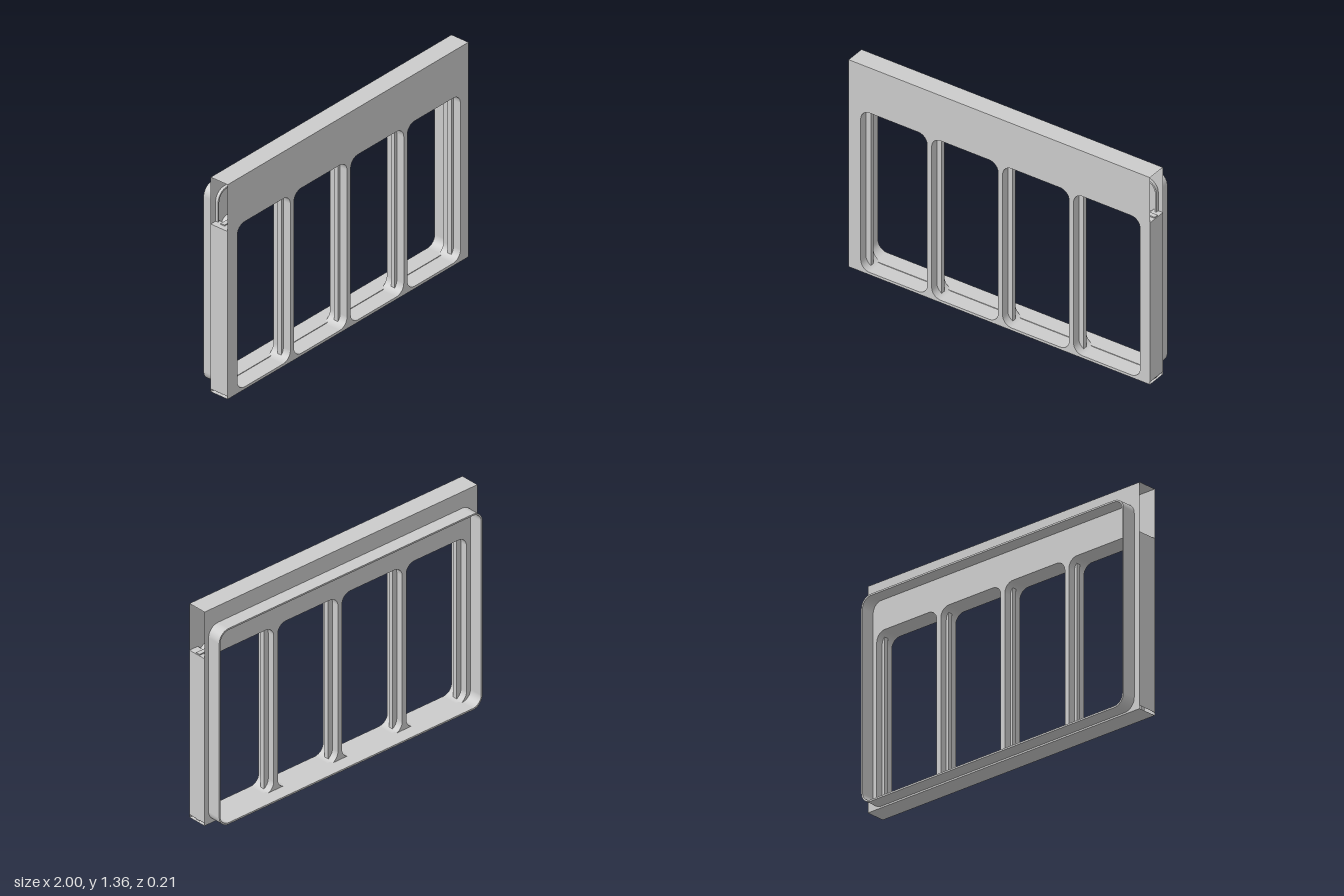
import * as THREE from 'three';

const mat = new THREE.MeshStandardMaterial({ color: 0xcccccc, side: THREE.DoubleSide });
const FRONT = 0.104, BACK = -0.018, TOP = 1.36;

// Counter-clockwise outline of a rounded rectangle
function roundedRect(x0, x1, y0, y1, r, n = 10) {
  const corners = [[x1 - r, y0 + r, -0.5], [x1 - r, y1 - r, 0], [x0 + r, y1 - r, 0.5], [x0 + r, y0 + r, 1]];
  const pts = [];
  for (const [cx, cy, start] of corners) {
    for (let i = 0; i <= n; i++) {
      const a = (start + 0.5 * i / n) * Math.PI;
      pts.push(new THREE.Vector2(cx + r * Math.cos(a), cy + r * Math.sin(a)));
    }
  }
  return pts;
}

// Smooth wall swept along z from a closed outline
function wall(pts, z0, z1, inward = false) {
  const pos = [], idx = [], n = pts.length;
  for (const p of pts) pos.push(p.x, p.y, z0, p.x, p.y, z1);
  for (let i = 0; i < n; i++) {
    const a = 2 * i, b = 2 * ((i + 1) % n);
    if (inward) idx.push(a, b + 1, b, a, a + 1, b + 1);
    else idx.push(a, b, b + 1, a, b + 1, a + 1);
  }
  const g = new THREE.BufferGeometry();
  g.setAttribute('position', new THREE.Float32BufferAttribute(pos, 3));
  g.setIndex(idx);
  g.computeVertexNormals();
  return g;
}

export function createModel() {
  const model = new THREE.Group();
  const add = (name, geometry, x = 0, y = 0, z = 0, rx = 0, ry = 0) => {
    const m = new THREE.Mesh(geometry, mat);
    m.name = name;
    m.position.set(x, y, z);
    m.rotation.set(rx, ry, 0);
    model.add(m);
  };
  // Flat sheet with holes, facing +z or -z
  const sheet = (name, outline, holes, z, facing) => {
    const s = new THREE.Shape(outline);
    s.holes = holes.map((h) => new THREE.Path(h));
    const g = new THREE.ShapeGeometry(s);
    if (facing < 0) {
      const ix = g.index;
      for (let i = 0; i < ix.count; i += 3) {
        const t = ix.getX(i);
        ix.setX(i, ix.getX(i + 1));
        ix.setX(i + 1, t);
      }
      g.computeVertexNormals();
    }
    add(name, g, 0, 0, z);
  };

  // Four window openings at an even pitch
  const windows = [0, 1, 2, 3].map((i) => {
    const x = -0.92 + i * 0.471;
    return roundedRect(x, x + 0.441, 0.016, 1.063, 0.06);
  });
  const outline = [[-1, 0], [1, 0], [1, TOP], [-1, TOP]].map(([x, y]) => new THREE.Vector2(x, y));

  // Hollow body: front and back panels, top and bottom, window reveals
  sheet('frontPanel', outline, windows, FRONT, 1);
  sheet('backPanel', outline, windows, BACK, -1);
  const depth = FRONT - BACK, midZ = (FRONT + BACK) / 2;
  add('topPanel', new THREE.PlaneGeometry(2, depth), 0, TOP, midZ, -Math.PI / 2);
  add('bottomPanel', new THREE.PlaneGeometry(2, depth), 0, 0, midZ, Math.PI / 2);
  for (const w of windows) add('windowReveal', wall(w, BACK, FRONT, true));

  // End walls stop at window height, leaving the upper ends open
  for (const side of [-1, 1]) {
    add('endWall', new THREE.PlaneGeometry(depth, 1.045), side, 0.5405, midZ, 0, side * Math.PI / 2);
    add('endLedge', new THREE.PlaneGeometry(0.06, depth), side * 0.97, 1.063, midZ, -Math.PI / 2);
  }

  // Slim upright strips that show at both sides of each window
  for (let i = 0; i < 5; i++) {
    add('uprightStrip', new THREE.BoxGeometry(0.08, 1.06, 0.028), -0.928 + i * 0.471, 0.54, 0.04);
  }

  // Thin rounded rim around the back
  const outer = roundedRect(-0.96, 0.97, 0.01, 1.255, 0.07);
  const inner = roundedRect(-0.95, 0.96, 0.02, 1.245, 0.06);
  add('rimOutside', wall(outer, -0.104, 0));
  add('rimInside', wall(inner, -0.104, 0, true));
  sheet('rimBackLip', outer, [inner], -0.104, -1);
  sheet('rimFrontLip', outer, [inner], 0, 1);

  return model;
}
